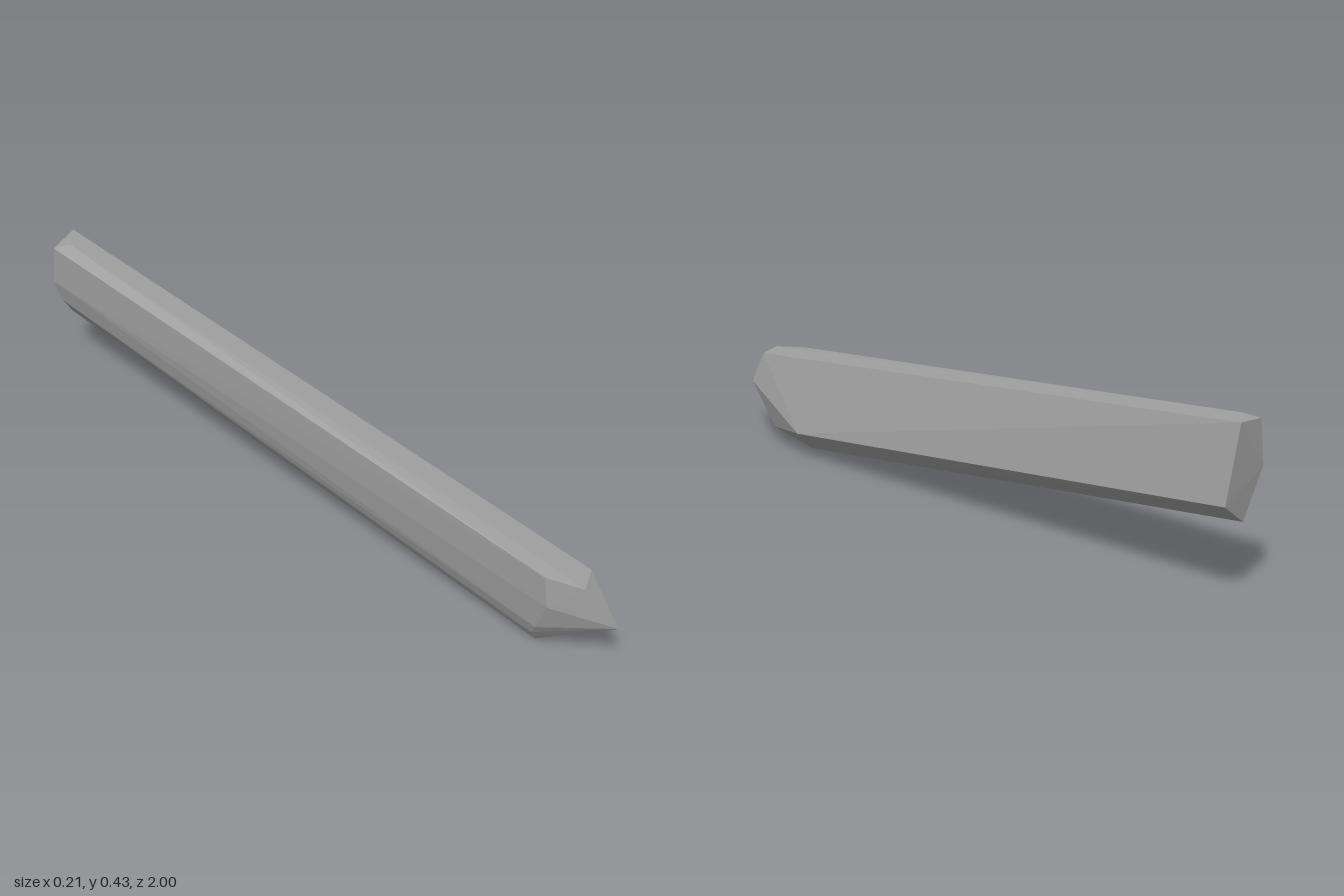
import * as THREE from 'three';
import { ConvexGeometry } from 'three/addons/geometries/ConvexGeometry.js';

// A long faceted shard: the convex skin around a few cross-section corners.
export function createModel() {
  const group = new THREE.Group();
  group.name = 'shard';
  const stone = new THREE.MeshStandardMaterial({ color: 0xa0a0a0 });
  stone.name = 'grey stone';

  // pointed nose
  const nose = [
    [0.005, 0.158, 1.0],
    [-0.03, 0.25, 0.92], [0.042, 0.247, 0.88], [-0.07, 0.257, 0.83],
    [0.062, 0.16, 0.91], [-0.068, 0.17, 0.84],
  ];
  // rounded keel under the nose
  const keel = [
    [0.103, 0.07, 0.62], [0.06, 0.045, 0.8], [0.035, 0.01, 0.65],
    [-0.015, 0.0, 0.77], [-0.03, 0.018, 0.77], [-0.046, 0.045, 0.78], [-0.058, 0.08, 0.8],
  ];
  // blunt tail
  const tail = [
    [-0.008, 0.431, -1.0], [-0.07, 0.432, -0.94], [-0.103, 0.42, -0.97],
    [-0.105, 0.31, -0.98], [-0.092, 0.25, -0.965],
    [-0.045, 0.185, -0.98], [0.035, 0.24, -1.0],
  ];

  const points = [...nose, ...keel, ...tail].map((p) => new THREE.Vector3(...p));
  const body = new THREE.Mesh(new ConvexGeometry(points), stone);
  body.name = 'shardBody';
  group.add(body);
  return group;
}
